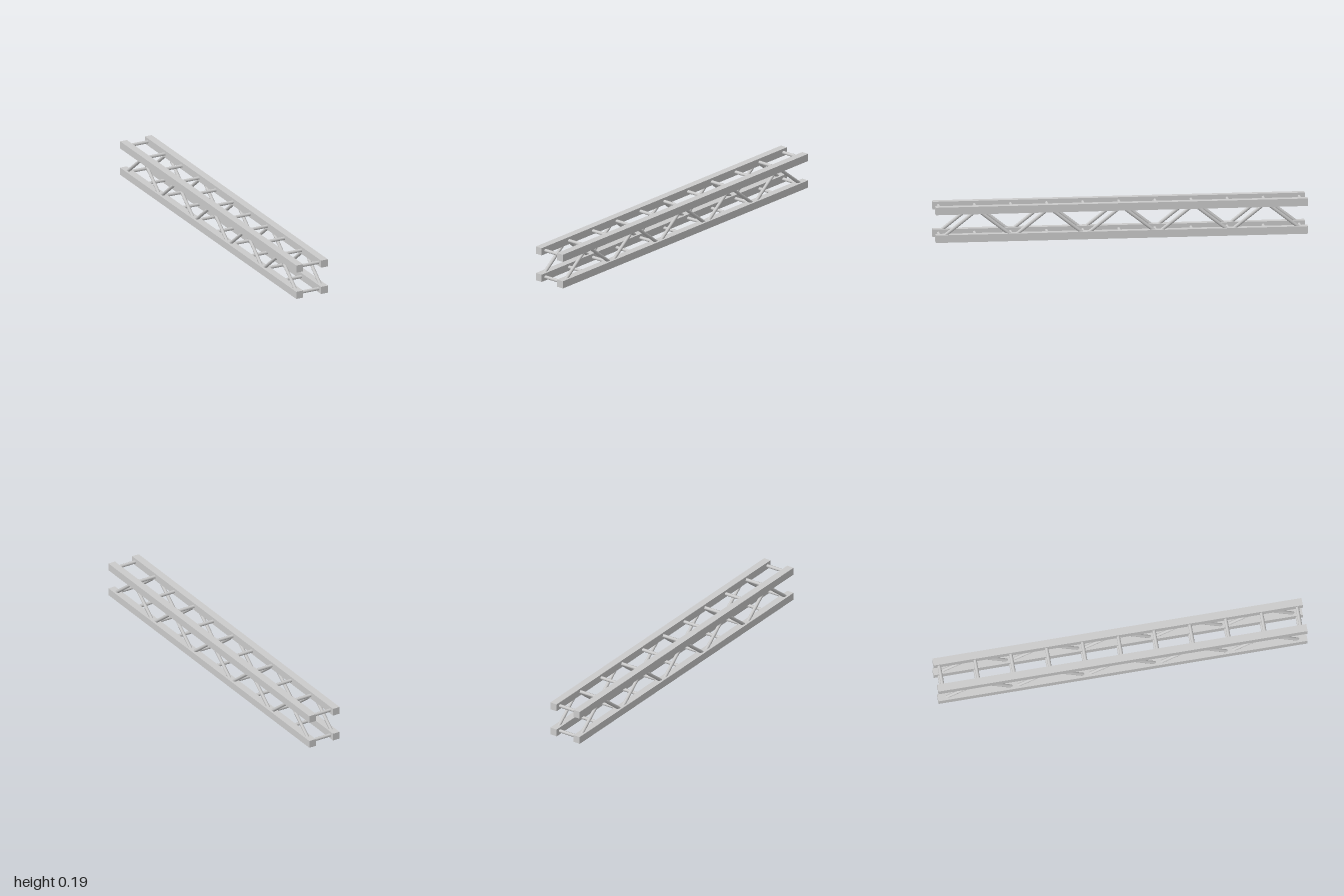
import * as THREE from 'three';

const LENGTH = 2, CHORD = 0.041, HALF = 0.075, LOW = 0.0205, HIGH = 0.172;
const BAYS = 10, BAY = 0.194, ROD_RADIUS = 0.0093;

export function createModel() {
  const model = new THREE.Group();
  model.name = 'boxTruss';
  const material = new THREE.MeshStandardMaterial({ color: 0xcccccc });
  const up = new THREE.Vector3(0, 1, 0);

  // Round bar running between two points
  function addRod(name, a, b) {
    const dir = b.clone().sub(a);
    const rod = new THREE.Mesh(
      new THREE.CylinderGeometry(ROD_RADIUS, ROD_RADIUS, dir.length(), 8), material);
    rod.name = name;
    rod.position.copy(a).add(b).multiplyScalar(0.5);
    rod.quaternion.setFromUnitVectors(up, dir.normalize());
    model.add(rod);
  }

  // Four long square chords
  for (const x of [-HALF, HALF]) {
    for (const y of [LOW, HIGH]) {
      const chord = new THREE.Mesh(new THREE.BoxGeometry(CHORD, CHORD, LENGTH), material);
      chord.name = y === LOW ? 'lowerChord' : 'upperChord';
      chord.position.set(x, y, 0);
      model.add(chord);
    }
  }

  const stationZ = (i) => (i - BAYS / 2) * BAY;

  // Cross rungs at every station, top and bottom
  for (let i = 0; i <= BAYS; i++) {
    for (const y of [LOW, HIGH]) {
      addRod(y === LOW ? 'lowerRung' : 'upperRung',
        new THREE.Vector3(-HALF, y, stationZ(i)), new THREE.Vector3(HALF, y, stationZ(i)));
    }
  }

  // Zigzag diagonals on both sides
  const stationY = (i) => (i % 2 ? HIGH : LOW);
  for (const x of [-HALF, HALF]) {
    for (let i = 0; i < BAYS; i++) {
      addRod('diagonalBrace',
        new THREE.Vector3(x, stationY(i), stationZ(i)),
        new THREE.Vector3(x, stationY(i + 1), stationZ(i + 1)));
    }
  }
  return model;
}
